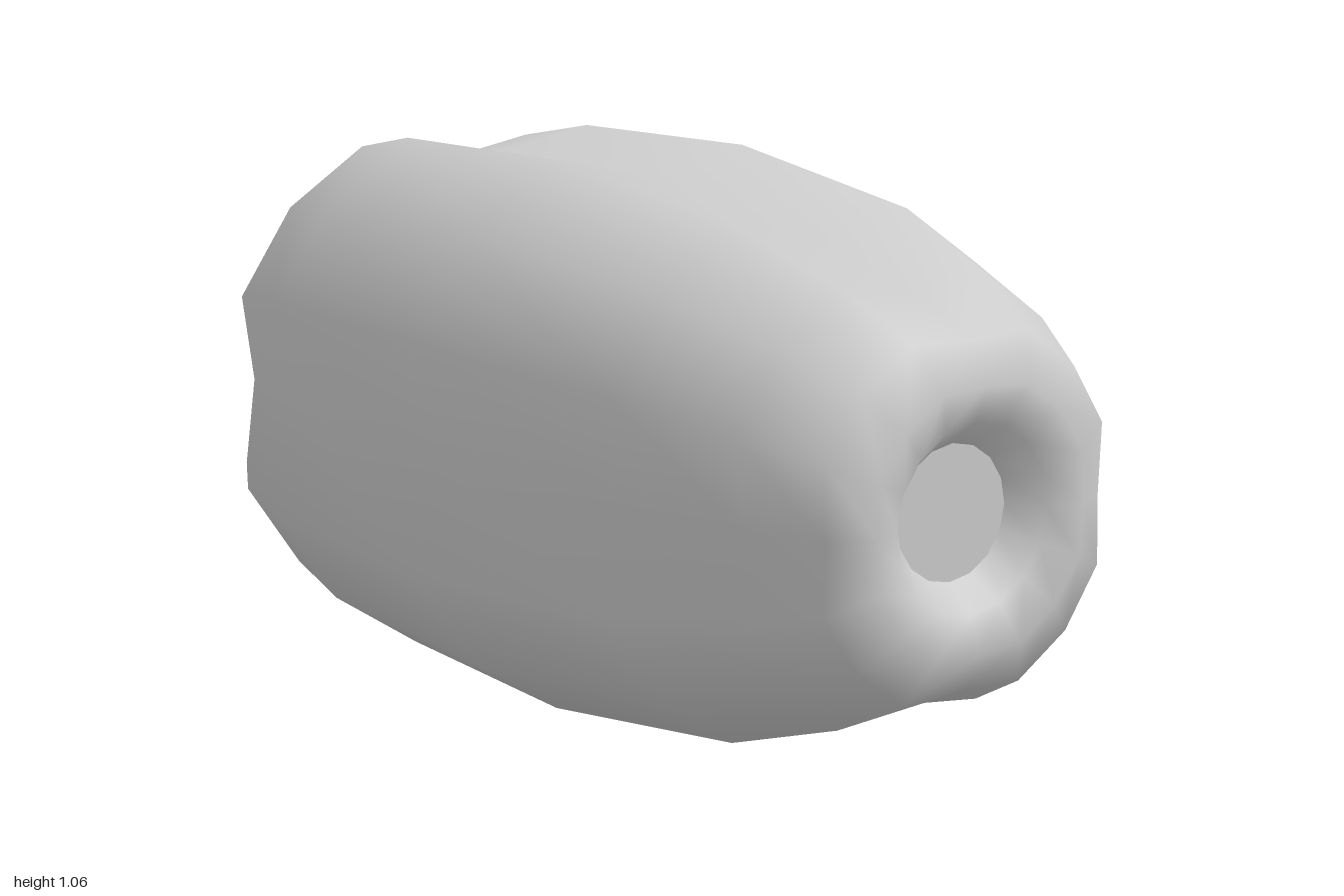
import * as THREE from 'three';

const SIDES = 16;
const CENTRE_Y = 0.53;

// Cross-sections from back to front: [z, radius at the lobes, groove depth 0..1]
const RINGS = [
  [-0.92, 0.305, 0.5],
  [-0.81, 0.46, 0.85],
  [-0.69, 0.525, 1],
  [-0.48, 0.565, 1],
  [0.05, 0.571, 1],
  [0.57, 0.5, 1],
  [0.82, 0.41, 0.9],
  [0.96, 0.33, 0.6],
  [1.0, 0.24, 0.3],
  [0.975, 0.165, 0],
  [0.92, 0.12, 0],
];

// Smooth four-lobed skin, closed by a point at the back and curling into a dimple in front
function lobedSkin() {
  const positions = [0, 0, -1];
  const index = [];
  for (const [z, radius, groove] of RINGS) {
    for (let i = 0; i < SIDES; i++) {
      const a = (i / SIDES) * Math.PI * 2;
      const r = radius * (i % 4 === 0 ? 1 - 0.15 * groove : 1);
      positions.push(Math.cos(a) * r, Math.sin(a) * r, z);
    }
  }
  const at = (ring, i) => 1 + ring * SIDES + (i % SIDES);
  for (let i = 0; i < SIDES; i++) {
    index.push(0, at(0, i + 1), at(0, i));
    for (let k = 0; k < RINGS.length - 1; k++) {
      const a = at(k, i), b = at(k, i + 1), c = at(k + 1, i + 1), d = at(k + 1, i);
      index.push(a, b, c, a, c, d);
    }
  }
  const geometry = new THREE.BufferGeometry();
  geometry.setAttribute('position', new THREE.Float32BufferAttribute(positions, 3));
  geometry.setIndex(index);
  geometry.computeVertexNormals();
  return geometry;
}

export function createModel() {
  const group = new THREE.Group();
  group.name = 'lobedBody';
  const material = new THREE.MeshStandardMaterial({ color: 0xcccccc });

  const skin = new THREE.Mesh(lobedSkin(), material);
  skin.name = 'skin';
  skin.position.y = CENTRE_Y;

  // Flat floor of the front dimple
  const [floorZ, floorRadius] = RINGS[RINGS.length - 1];
  const floor = new THREE.Mesh(new THREE.CircleGeometry(floorRadius, SIDES), material);
  floor.name = 'dimpleFloor';
  floor.position.set(0, CENTRE_Y, floorZ);

  group.add(skin, floor);
  return group;
}
